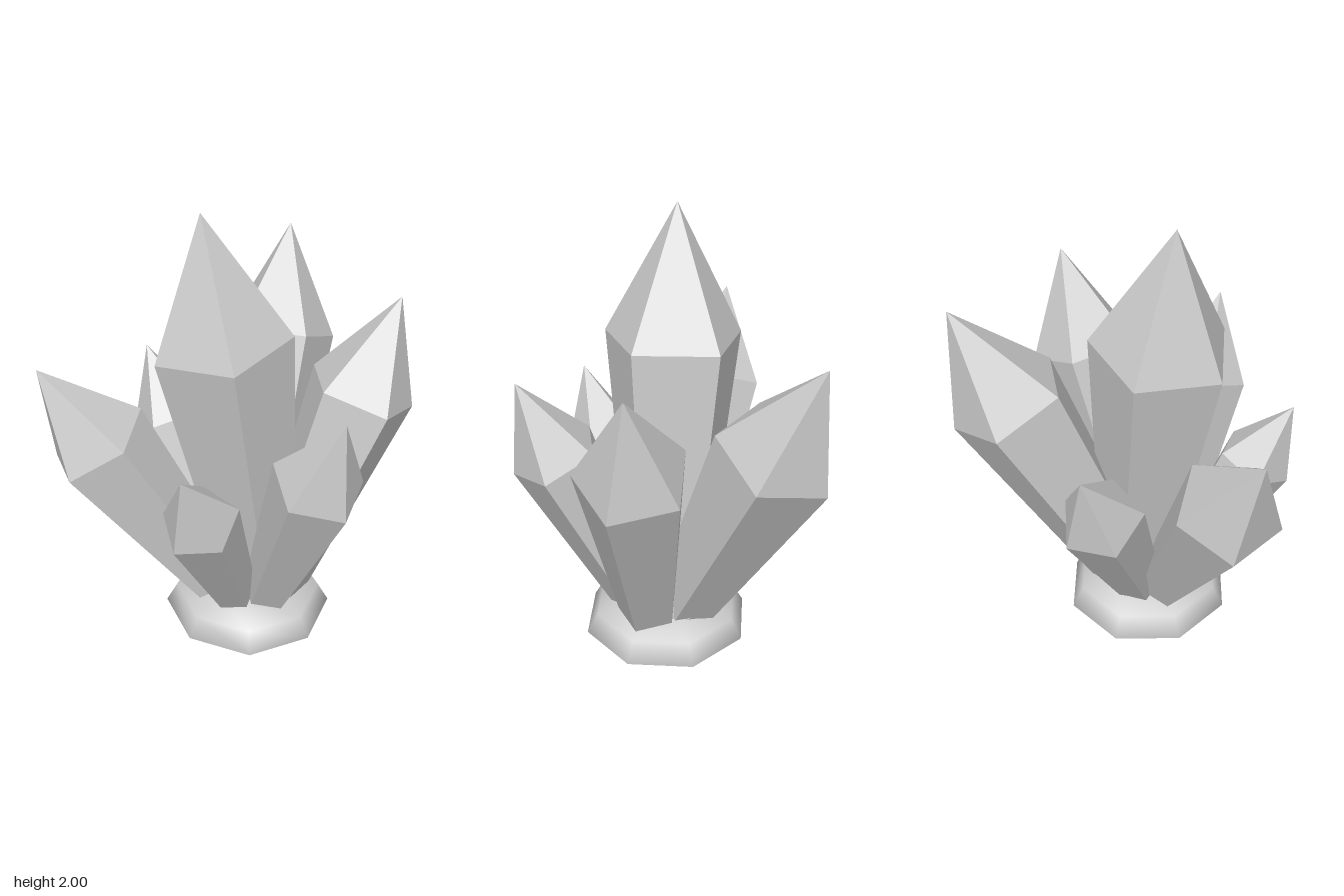
import * as THREE from 'three';

const SIDES = 5;
const SHOULDER = 0.7; // share of the length where the point begins
const FOOT = 0.55; // foot radius relative to shoulder radius

const crystalMaterial = new THREE.MeshStandardMaterial({ color: 0xcccccc, flatShading: true });
const rockMaterial = new THREE.MeshStandardMaterial({ color: 0xcccccc, side: THREE.DoubleSide });

// Tapered five-sided shaft with a pointed tip, running from foot to tip.
// "turn" is the compass angle (degrees, from +x towards +z) of one shoulder corner.
function crystal({ name, foot, tip, radius, turn }) {
  const start = new THREE.Vector3(...foot);
  const axis = new THREE.Vector3(...tip).sub(start);
  const length = axis.length();
  axis.normalize();

  const profile = [
    [0, 0],
    [radius * FOOT, 0],
    [radius, length * SHOULDER],
    [0, length],
  ].map(([r, y]) => new THREE.Vector2(r, y));
  const geometry = new THREE.LatheGeometry(profile, SIDES);

  // Direction square to the axis that points along the compass angle
  const a = THREE.MathUtils.degToRad(turn);
  const c = Math.cos(a), s = Math.sin(a);
  const corner = new THREE.Vector3(c, -(c * axis.x + s * axis.z) / axis.y, s).normalize();
  const across = new THREE.Vector3().crossVectors(axis, corner);

  const mesh = new THREE.Mesh(geometry, crystalMaterial);
  mesh.name = name;
  mesh.quaternion.setFromRotationMatrix(new THREE.Matrix4().makeBasis(across, axis, corner));
  mesh.position.copy(start);
  return mesh;
}

export function createModel() {
  const model = new THREE.Group();
  model.name = 'crystalCluster';

  // Low rocky dome, hollow and open underneath
  const dome = new THREE.SphereGeometry(0.39, 8, 3, 0, Math.PI * 2, 0, Math.PI / 2);
  dome.scale(1, 0.49, 0.98);
  const rock = new THREE.Mesh(dome, rockMaterial);
  rock.name = 'rockBase';
  rock.position.z = -0.01;
  model.add(rock);

  // One tall crystal with six leaning outwards around it
  const crystals = [
    { name: 'centralCrystal', foot: [0.02, 0.1, -0.08], tip: [-0.1, 2, 0.15], radius: 0.308, turn: 35 },
    { name: 'backRightCrystal', foot: [-0.053, 0.1, -0.08], tip: [-0.4, 1.61, -0.71], radius: 0.267, turn: 17.6 },
    { name: 'backLeftCrystal', foot: [0.11, 0.1, -0.087], tip: [0.357, 1.54, -0.58], radius: 0.248, turn: 24 },
    { name: 'frontRightCrystal', foot: [-0.075, 0.1, 0.083], tip: [-0.537, 1.345, 0.683], radius: 0.233, turn: 10.3 },
    { name: 'leftCrystal', foot: [0.12, 0.1, 0.007], tip: [0.627, 1.32, 0.087], radius: 0.204, turn: 11.5 },
    { name: 'frontLeftCrystal', foot: [0.045, 0.1, 0.097], tip: [0.209, 1.09, 0.58], radius: 0.172, turn: 12 },
    { name: 'rightCrystal', foot: [-0.12, 0.1, 0.005], tip: [-0.66, 1.138, -0.02], radius: 0.185, turn: -6 },
  ];
  for (const spec of crystals) model.add(crystal(spec));

  return model;
}
